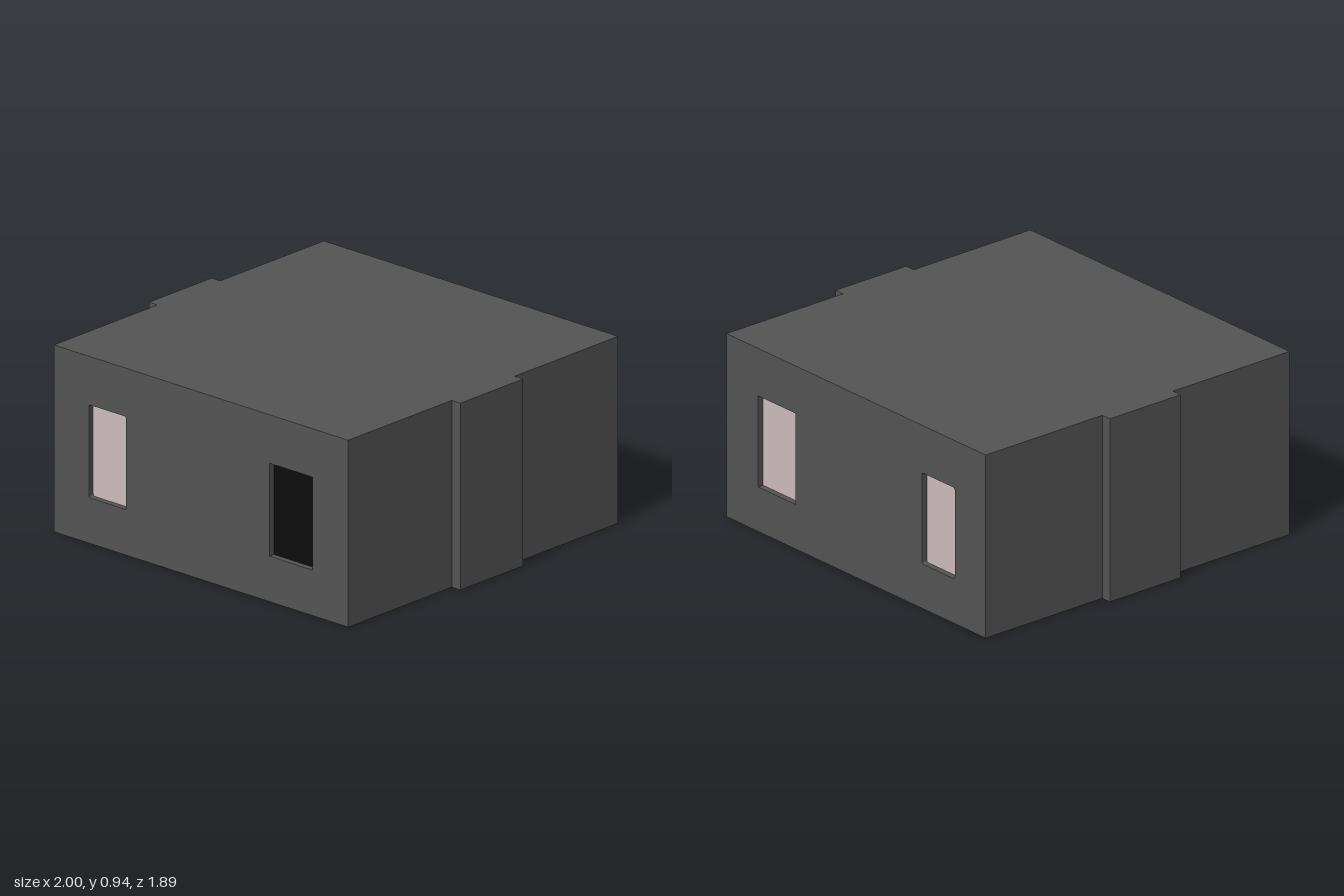
import * as THREE from 'three';

const W = 0.945, H = 0.945, RECESS = 0.035;
const CORE = W - RECESS;

// Window openings: x range, y range, corner radius
const NARROW = { x0: -0.72, x1: -0.48, y0: 0.23, y1: 0.7, r: 0.012 };
const WIDE = { x0: 0.44, x1: 0.715, y0: 0.23, y1: 0.7, r: 0 };

function openingPath({ x0, x1, y0, y1, r }) {
  const p = new THREE.Path();
  p.moveTo(x0 + r, y0);
  p.lineTo(x1 - r, y0);
  if (r) p.quadraticCurveTo(x1, y0, x1, y0 + r);
  p.lineTo(x1, y1 - r);
  if (r) p.quadraticCurveTo(x1, y1, x1 - r, y1);
  p.lineTo(x0 + r, y1);
  if (r) p.quadraticCurveTo(x0, y1, x0, y1 - r);
  p.lineTo(x0, y0 + r);
  if (r) p.quadraticCurveTo(x0, y0, x0 + r, y0);
  return p;
}

export function createModel() {
  const wallMat = new THREE.MeshStandardMaterial({ name: 'dark grey wall', color: 0x545454 });
  const paneMat = new THREE.MeshStandardMaterial({ name: 'pale pink pane', color: 0xcdbcbc });
  const darkMat = new THREE.MeshStandardMaterial({ name: 'black opening', color: 0x0d0d0d });

  const group = new THREE.Group();
  group.name = 'building';
  const add = (name, geo, mat, x = 0, y = 0, z = 0) => {
    const m = new THREE.Mesh(geo, mat);
    m.name = name;
    m.position.set(x, y, z);
    group.add(m);
  };

  // Core block with a shallow full-height bay on each side
  const plan = new THREE.Shape([
    [-W, -CORE], [W, -CORE], [W, -0.22], [1, -0.22], [1, 0.22], [W, 0.22],
    [W, CORE], [-W, CORE], [-W, 0.22], [-1, 0.22], [-1, -0.22], [-W, -0.22],
  ].map(([x, y]) => new THREE.Vector2(x, y)));
  const core = new THREE.ExtrudeGeometry(plan, { depth: H, bevelEnabled: false });
  core.rotateX(-Math.PI / 2);
  add('coreAndSideBays', core, wallMat);

  // Front and back walls with pierced window openings
  const face = new THREE.Shape([
    new THREE.Vector2(-W, 0), new THREE.Vector2(W, 0),
    new THREE.Vector2(W, H), new THREE.Vector2(-W, H),
  ]);
  face.holes.push(openingPath(NARROW), openingPath(WIDE));
  const wall = new THREE.ExtrudeGeometry(face, { depth: RECESS, bevelEnabled: false, curveSegments: 4 });
  add('frontWall', wall, wallMat, 0, 0, CORE);
  add('backWall', wall, wallMat, 0, 0, -W);

  // Thin panes set at the bottom of each recess
  for (const [side, label] of [[1, 'front'], [-1, 'back']]) {
    for (const o of [NARROW, WIDE]) {
      const dark = side === 1 && o === WIDE;
      add(label + (dark ? 'DarkOpening' : 'WindowPane'),
        new THREE.BoxGeometry(o.x1 - o.x0, o.y1 - o.y0, 0.004),
        dark ? darkMat : paneMat,
        (o.x0 + o.x1) / 2, (o.y0 + o.y1) / 2, side * (CORE + 0.002));
    }
  }
  return group;
}
